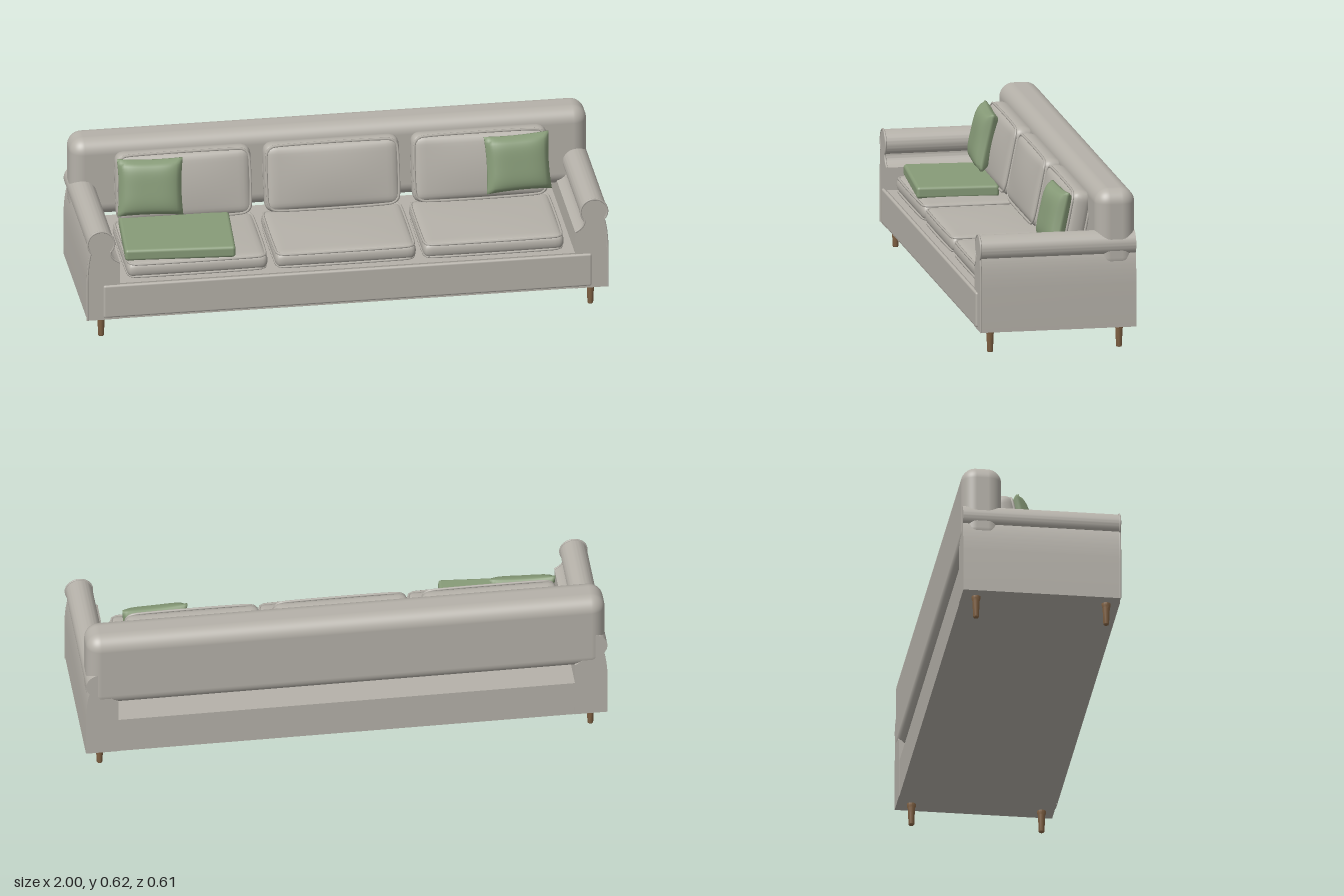
import * as THREE from 'three';
import { mergeVertices, toCreasedNormals } from 'three/addons/utils/BufferGeometryUtils.js';
import { RoundedBoxGeometry } from 'three/addons/geometries/RoundedBoxGeometry.js';

const fabric = new THREE.MeshStandardMaterial({ name: 'grey fabric', color: 0xb5b1a9 });
const green = new THREE.MeshStandardMaterial({ name: 'green fabric', color: 0x879b78 });
const wood = new THREE.MeshStandardMaterial({ name: 'wood', color: 0x8b6a4a });

function add(parent, name, geometry, material, x = 0, y = 0, z = 0) {
  const mesh = new THREE.Mesh(geometry, material);
  mesh.name = name;
  mesh.position.set(x, y, z);
  parent.add(mesh);
  return mesh;
}

// Moves every vertex of a subdivided unit box by a rule, then smooths it
function shapedBox(nx, ny, nz, rule) {
  const box = new THREE.BoxGeometry(2, 2, 2, nx, ny, nz);
  box.deleteAttribute('uv');
  box.deleteAttribute('normal');
  const g = mergeVertices(box);
  const p = g.attributes.position;
  const v = new THREE.Vector3();
  for (let i = 0; i < p.count; i++) {
    rule(v.fromBufferAttribute(p, i));
    p.setXYZ(i, v.x, v.y, v.z);
  }
  g.computeVertexNormals();
  return g;
}

// Rounded box with crowned top and bottom
function cushionGeometry(w, h, d, r, crown) {
  const ease = t => Math.sin(t * Math.PI / 2);
  const inner = new THREE.Vector3(w / 2 - r, h / 2 - r, d / 2 - r);
  const core = new THREE.Vector3();
  return shapedBox(24, 8, 24, v => {
    const x = ease(v.x), z = ease(v.z), side = v.y;
    v.set(x * w / 2, ease(v.y) * h / 2, z * d / 2);
    core.copy(v).clamp(inner.clone().negate(), inner);
    v.sub(core).setLength(r).add(core);
    v.y += side * crown * (1 - x * x) * (1 - z * z);
  });
}

// Closed cord around a rounded rectangle lying flat
function pipingGeometry(w, d, r) {
  const pts = [];
  for (let k = 0; k < 4; k++) {
    const sx = k === 0 || k === 3 ? 1 : -1, sz = k < 2 ? 1 : -1;
    for (let j = 0; j <= 4; j++) {
      const a = (k + j / 4) * Math.PI / 2;
      pts.push(new THREE.Vector3(sx * (w / 2 - r) + r * Math.cos(a), 0, sz * (d / 2 - r) + r * Math.sin(a)));
    }
  }
  const path = new THREE.CatmullRomCurve3(pts, true, 'centripetal');
  return new THREE.TubeGeometry(path, 96, 0.005, 6, true);
}

function pipedCushion(name, w, h, d, r, crown) {
  const group = new THREE.Group();
  group.name = name;
  add(group, 'cushionBody', cushionGeometry(w, h, d, r, crown), fabric);
  const cord = pipingGeometry(w - 0.5 * r, d - 0.5 * r, r);
  for (const s of [-1, 1]) add(group, 'cushionPiping', cord, fabric, 0, s * (h / 2 - 0.2 * r), 0);
  return group;
}

// Throw pillow: full in the middle, thin at the seams
function pillowGeometry(w, h, d) {
  return shapedBox(20, 2, 20, v => {
    const { x, y, z } = v;
    const full = Math.sqrt((1 - x ** 4) * (1 - z ** 4));
    v.set(x * w / 2 * (1 - 0.05 * (1 - z * z)), y * h / 2 * (0.12 + 0.88 * full),
      z * d / 2 * (1 - 0.05 * (1 - x * x)));
  });
}

// Rolled arm outline for the +x side
function armShape() {
  const s = new THREE.Shape();
  s.moveTo(0.87, 0.087);
  s.lineTo(0.996, 0.087);
  s.lineTo(0.996, 0.25);
  s.quadraticCurveTo(0.994, 0.33, 0.982, 0.371);
  s.absarc(0.944, 0.404, 0.051, -0.7, Math.PI + 0.8, false);
  s.quadraticCurveTo(0.908, 0.34, 0.872, 0.322);
  s.lineTo(0.87, 0.087);
  return s;
}

export function createModel() {
  const sofa = new THREE.Group();
  sofa.name = 'sofa';

  // Base and front rail
  add(sofa, 'base', new THREE.BoxGeometry(1.8, 0.148, 0.597), fabric, 0, 0.161, -0.003);
  add(sofa, 'frontRail', new RoundedBoxGeometry(1.87, 0.135, 0.03, 3, 0.008), fabric, 0, 0.163, 0.29);

  // Backrest, leaving an open slot above the base
  add(sofa, 'backrest', new RoundedBoxGeometry(1.98, 0.317, 0.154, 8, 0.055), fabric, 0, 0.4585, -0.228);

  // Rolled arms with a cord around the front face
  const shape = armShape();
  const arm = toCreasedNormals(
    new THREE.ExtrudeGeometry(shape, { depth: 0.601, bevelEnabled: false, curveSegments: 20 }), 0.6);
  arm.translate(0, 0, -0.303);
  const outline = shape.getPoints(20).slice(1, -1).map(p => new THREE.Vector3(p.x, p.y, 0.296));
  const cord = new THREE.TubeGeometry(new THREE.CatmullRomCurve3(outline, false, 'centripetal'), 90, 0.004, 6);
  for (const s of [1, -1]) {
    const side = new THREE.Group();
    side.name = s > 0 ? 'leftArm' : 'rightArm';
    add(side, 'armBody', arm, fabric);
    add(side, 'armPiping', cord, fabric);
    if (s < 0) side.rotation.y = Math.PI;
    if (s < 0) {
      // The half turn swaps front and back, so recentre the body and move the cord forward
      side.children[0].position.z = 0.005;
      side.children[1].position.z = -0.592;
    }
    sofa.add(side);
  }

  // Seat and back cushions
  for (const x of [-0.568, 0, 0.566]) {
    const seat = pipedCushion('seatCushion', 0.54, 0.062, 0.4, 0.028, 0.008);
    seat.position.set(x, 0.267, 0.07);
    sofa.add(seat);
    const back = pipedCushion('backCushion', 0.52, 0.085, 0.27, 0.036, 0.014);
    back.position.set(x, 0.445, -0.107);
    back.rotation.x = Math.PI / 2 - 0.2;
    sofa.add(back);
  }

  // Folded blanket on the right-hand seat
  const blanket = add(sofa, 'foldedBlanket', new RoundedBoxGeometry(0.42, 0.046, 0.315, 4, 0.012),
    green, -0.622, 0.319, 0.096);
  blanket.rotation.y = -0.07;

  // Throw pillows
  const pillow = pillowGeometry(0.25, 0.085, 0.222);
  for (const s of [-1, 1]) {
    const p = add(sofa, 'throwPillow', pillow, green, s * 0.704, 0.467, -0.043);
    p.rotation.set(Math.PI / 2 - 0.22, s * 0.1, s * 0.04, 'YXZ');
  }

  // Turned legs
  const legProfile = [[0, 0], [0.009, 0], [0.011, 0.003], [0.014, 0.07], [0.017, 0.078], [0.017, 0.09], [0, 0.09]]
    .map(([r, y]) => new THREE.Vector2(r, y));
  const leg = toCreasedNormals(new THREE.LatheGeometry(legProfile, 20), 0.6);
  for (const x of [-0.937, 0.937]) for (const z of [-0.247, 0.25]) add(sofa, 'leg', leg, wood, x, 0, z);

  return sofa;
}
